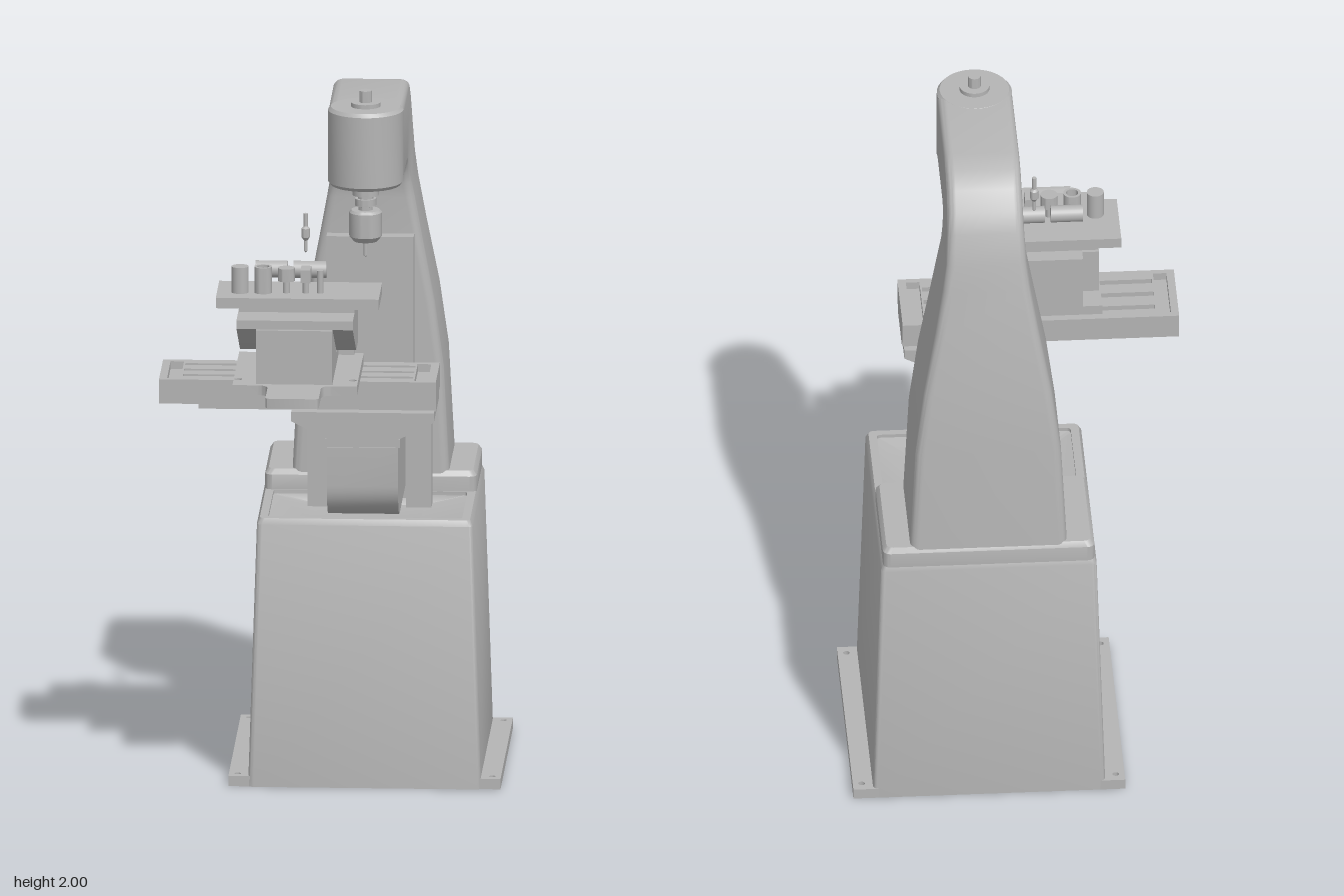
import * as THREE from 'three';
import { toCreasedNormals } from 'three/addons/utils/BufferGeometryUtils.js';

const CX = 0.0925; // centre line of the column and base

export function createModel() {
  const model = new THREE.Group();
  model.name = 'millingMachine';
  const castGrey = new THREE.MeshStandardMaterial({ color: 0xb4b4b4 });
  castGrey.name = 'cast grey';

  const add = (name, geo) => {
    const mesh = new THREE.Mesh(geo, castGrey);
    mesh.name = name;
    model.add(mesh);
    return mesh;
  };
  const box = (name, x0, x1, y0, y1, z0, z1) =>
    add(name, new THREE.BoxGeometry(x1 - x0, y1 - y0, z1 - z0))
      .position.set((x0 + x1) / 2, (y0 + y1) / 2, (z0 + z1) / 2);
  const cyl = (name, r, x, y0, y1, z) =>
    add(name, new THREE.CylinderGeometry(r, r, y1 - y0, 28)).position.set(x, (y0 + y1) / 2, z);
  const lathe = (name, pts, x, z) => {
    const geo = new THREE.LatheGeometry(pts.map(p => new THREE.Vector2(...p)), 32);
    add(name, toCreasedNormals(geo, 0.6)).position.set(x, 0, z);
  };
  const extrude = (shape, depth) => toCreasedNormals(
    new THREE.ExtrudeGeometry(shape, { depth, bevelEnabled: false, curveSegments: 10 }), 0.6);
  const polygon = pts => new THREE.Shape(pts.map(p => new THREE.Vector2(...p)));
  // side profile of [z, y] points, extruded from x0 to x1
  const sideProfile = (name, pts, x0, x1) => add(name,
    extrude(polygon(pts.map(([z, y]) => [-z, y])), x1 - x0).rotateY(Math.PI / 2).translate(x0, 0, 0));
  // plan shape drawn in (x, -z), extruded upward from y0 to y1
  const plan = (name, shape, y0, y1) =>
    add(name, extrude(shape, y1 - y0).rotateX(-Math.PI / 2).translate(0, y0, 0));

  // Rounded rectangular section between an inner and an outer [z, y] point
  const ring = (cx, hw, inner, outer, r) => {
    const dz = outer[0] - inner[0], dy = outer[1] - inner[1], len = Math.hypot(dz, dy);
    const pts = [], n = 5;
    [[1, 1], [-1, 1], [-1, -1], [1, -1]].forEach(([sx, sv], q) => {
      for (let i = 0; i <= n; i++) {
        const a = (q + i / n) * Math.PI / 2;
        const u = sx * (hw - r) + r * Math.cos(a);
        const v = (len / 2 + sv * (len / 2 - r) + r * Math.sin(a)) / len;
        pts.push([cx + u, inner[1] + dy * v, inner[0] + dz * v]);
      }
    });
    return pts;
  };
  const rect = (x0, x1, zFront, zBack, y, r) =>
    ring((x0 + x1) / 2, (x1 - x0) / 2, [zFront, y], [zBack, y], r);
  // Skin a row of sections and cap both ends
  const loft = (name, rings) => {
    const n = rings[0].length, pos = rings.flat(2), idx = [];
    for (let k = 0; k < rings.length - 1; k++)
      for (let i = 0; i < n; i++) {
        const a = k * n + i, b = k * n + (i + 1) % n;
        idx.push(a, b, b + n, a, b + n, a + n);
      }
    const last = (rings.length - 1) * n;
    for (let i = 1; i < n - 1; i++) idx.push(0, i + 1, i, last, last + i, last + i + 1);
    const geo = new THREE.BufferGeometry();
    geo.setAttribute('position', new THREE.Float32BufferAttribute(pos, 3));
    geo.setIndex(idx);
    add(name, toCreasedNormals(geo, 0.6));
  };

  // Tapered pedestal, hollow below, with a sunken tray on top
  loft('pedestal', [
    rect(-0.19, 0.375, 0.10, -0.53, 0.70, 0.01),
    rect(-0.21, 0.395, 0.12, -0.55, 0, 0.01),
    rect(-0.235, 0.42, 0.145, -0.575, 0, 0.015),
    rect(-0.211, 0.396, 0.129, -0.562, 0.755, 0.015),
    rect(-0.203, 0.388, 0.121, -0.555, 0.772, 0.015),
    rect(-0.18, 0.365, 0.10, -0.21, 0.772, 0.01),
    rect(-0.18, 0.365, 0.10, -0.21, 0.762, 0.01),
    rect(-0.06, 0.245, 0.0, -0.20, 0.735, 0.01),
  ]);
  for (const [x0, x1] of [[-0.29, -0.22], [0.405, 0.475]]) {
    const s = polygon([[x0, -0.14], [x1, -0.14], [x1, 0.575], [x0, 0.575]]);
    const hx = x0 < 0 ? x0 + 0.025 : x1 - 0.025;
    for (const hy of [-0.11, 0.545])
      s.holes.push(new THREE.Path().absarc(hx, hy, 0.009, 0, Math.PI * 2, true));
    plan('mountingFlange', s, 0, 0.03);
  }

  // Column foot
  loft('columnFoot', [
    rect(-0.205, 0.39, -0.215, -0.562, 0.77, 0.02),
    rect(-0.205, 0.39, -0.215, -0.562, 0.815, 0.02),
    rect(-0.195, 0.38, -0.225, -0.552, 0.83, 0.02),
  ]);
  // Swan-neck column: [inner z, y], [outer z, y], half width
  loft('column', [
    [[-0.22, 0.80], [-0.558, 0.80], 0.222],
    [[-0.22, 1.13], [-0.54, 1.13], 0.205],
    [[-0.22, 1.315], [-0.522, 1.315], 0.18],
    [[-0.22, 1.50], [-0.495, 1.50], 0.145],
    [[-0.22, 1.62], [-0.472, 1.63], 0.123],
    [[-0.217, 1.66], [-0.455, 1.71], 0.114],
    [[-0.207, 1.69], [-0.432, 1.80], 0.109],
    [[-0.192, 1.712], [-0.405, 1.855], 0.107],
    [[-0.175, 1.724], [-0.365, 1.905], 0.106],
    [[-0.155, 1.73], [-0.315, 1.938], 0.106],
    [[-0.12, 1.73], [-0.25, 1.953], 0.106],
    [[0.07, 1.73], [0.07, 1.955], 0.106],
  ].map(([i, o, hw]) => ring(CX, hw, i, o, 0.025)));

  // Spindle head, drawbar and chuck
  lathe('spindleHead', [[0, 1.73], [0.098, 1.73], [0.106, 1.74], [0.106, 1.945], [0.098, 1.955],
    [0.042, 1.955], [0.042, 1.967], [0.018, 1.967], [0.018, 2], [0, 2]], CX, 0.068);
  lathe('chuckAndDrill', [[0, 1.52], [0.006, 1.524], [0.006, 1.567], [0.034, 1.567], [0.046, 1.582],
    [0.046, 1.65], [0.04, 1.657], [0.02, 1.657], [0.02, 1.667], [0.03, 1.67], [0.03, 1.69],
    [0.022, 1.69], [0.022, 1.7], [0.037, 1.7], [0.037, 1.735]], CX, 0.074);

  // Vertical slideway and knee guides
  box('verticalSlideway', -0.03, 0.215, 0.76, 1.515, -0.225, -0.18);
  for (const s of [-1, 1])
    box('kneeGuide', CX + s * 0.138 - 0.036, CX + s * 0.138 + 0.036, 0.74, 1.035, -0.225, -0.152);

  // Knee with a rounded lower front
  const knee = [[-0.18, 0.8]];
  for (let i = 0; i <= 8; i++) {
    const a = i / 8 * Math.PI / 2;
    knee.push([0.155 + 0.1 * Math.sin(a), 0.9 - 0.1 * Math.cos(a)]);
  }
  knee.push([0.255, 1.012], [-0.18, 1.012]);
  sideProfile('knee', knee, CX - 0.1, CX + 0.1);
  box('kneeTop', CX - 0.105, CX + 0.105, 1.012, 1.035, -0.19, 0.25);
  box('kneeSlide', CX - 0.07, CX + 0.07, 1.035, 1.055, -0.19, 0.25);

  // Flared saddle under the table
  add('saddle', extrude(polygon([[-0.008, 1.035], [0.193, 1.035], [0.293, 1.085],
    [0.293, 1.112], [-0.108, 1.112], [-0.108, 1.085]]), 0.235).translate(0, 0, 0.015));
  box('tableDovetail', -0.37, 0.298, 1.11, 1.13, 0.045, 0.215);

  // Long table with slots and end pockets
  box('tableBody', -0.48, 0.298, 1.13, 1.178, 0.01, 0.242);
  const deck = polygon([[-0.48, -0.242], [0.298, -0.242], [0.298, -0.01], [-0.48, -0.01]]);
  const cut = (x0, x1, z0, z1) => deck.holes.push(new THREE.Path(
    [[x0, -z0], [x1, -z0], [x1, -z1], [x0, -z1]].map(p => new THREE.Vector2(...p))));
  for (const x of [-0.458, 0.237]) cut(x, x + 0.038, 0.03, 0.225);
  for (const z of [0.05, 0.115, 0.178]) cut(-0.415, 0.232, z, z + 0.02);
  plan('tableDeck', deck, 1.178, 1.2);

  // Fixture base with a front tongue
  const base = new THREE.Shape();
  base.moveTo(-0.265, -0.03).lineTo(-0.265, -0.42).lineTo(-0.195, -0.42)
    .quadraticCurveTo(-0.165, -0.42, -0.165, -0.455).lineTo(-0.165, -0.56)
    .quadraticCurveTo(-0.165, -0.575, -0.15, -0.575).lineTo(-0.03, -0.575)
    .quadraticCurveTo(-0.015, -0.575, -0.015, -0.56).lineTo(-0.015, -0.455)
    .quadraticCurveTo(-0.015, -0.42, 0.015, -0.42).lineTo(0.085, -0.42).lineTo(0.085, -0.03);
  for (const x of [-0.252, 0.07])
    base.holes.push(new THREE.Path().absarc(x, -0.35, 0.011, 0, Math.PI * 2, true));
  plan('fixtureBase', base, 1.202, 1.23);

  // Inclined wedge pair, back plate and top plate
  sideProfile('lowerWedge', [[0.05, 1.23], [0.405, 1.23], [0.405, 1.385], [0.39, 1.385],
    [0.15, 1.262], [0.05, 1.262]], -0.2, 0.015);
  sideProfile('upperWedge', [[0.05, 1.268], [0.15, 1.268], [0.35, 1.375], [0.35, 1.4],
    [0.05, 1.4]], -0.257, 0.07);
  box('backPlate', -0.21, 0.06, 1.23, 1.4, 0.015, 0.052);
  box('plateSpacer', -0.255, 0.07, 1.4, 1.41, 0.06, 0.25);
  box('topPlate', -0.32, 0.138, 1.41, 1.44, 0.052, 0.252);

  // Small tooling on the top plate
  cyl('toolPost', 0.024, -0.255, 1.44, 1.515, 0.18);
  lathe('toolSocket', [[0, 1.44], [0.025, 1.44], [0.025, 1.515], [0.017, 1.515], [0.017, 1.48],
    [0, 1.48]], -0.19, 0.18);
  lathe('spool', [[0, 1.44], [0.01, 1.44], [0.01, 1.475], [0.024, 1.475], [0.024, 1.512],
    [0, 1.512]], -0.125, 0.18);
  box('clampBlock', -0.084, -0.056, 1.475, 1.512, 0.155, 0.21);
  cyl('clampStem', 0.009, -0.07, 1.44, 1.475, 0.18);
  cyl('pin', 0.009, -0.03, 1.44, 1.505, 0.18);
  for (const [x0, x1] of [[-0.215, -0.125], [-0.108, -0.015]]) {
    const roller = add('roller', new THREE.CylinderGeometry(0.024, 0.024, x1 - x0, 28));
    roller.rotation.z = Math.PI / 2;
    roller.position.set((x0 + x1) / 2, 1.491, 0.113);
  }
  lathe('probe', [[0, 1.53], [0.005, 1.535], [0.005, 1.565], [0.012, 1.575], [0.012, 1.6],
    [0.006, 1.606], [0.006, 1.643], [0, 1.645]], -0.076, 0.073);

  return model;
}
